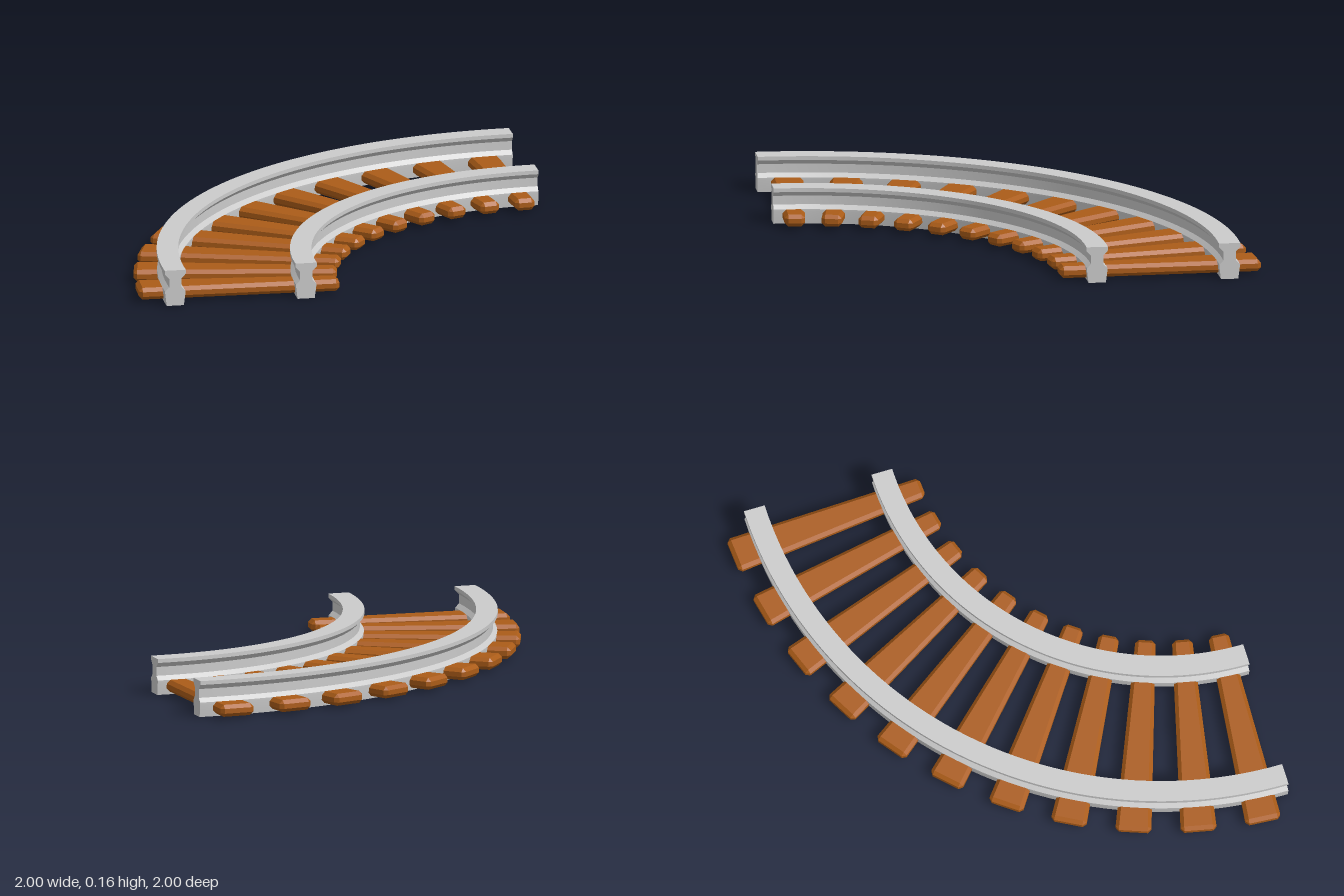
import * as THREE from 'three';
import { mergeGeometries, toCreasedNormals } from 'three/addons/utils/BufferGeometryUtils.js';
import { ConvexGeometry } from 'three/addons/geometries/ConvexGeometry.js';

const steel = new THREE.MeshStandardMaterial({ color: 0xcccccc });
const wood = new THREE.MeshStandardMaterial({ color: 0xab5c18 });

// Right half of the rail section, foot to head: [half width, height]
const HALF = [[0.038, 0], [0.045, 0.055], [0.045, 0.065], [0.027, 0.083],
  [0.027, 0.122], [0.047, 0.143], [0.047, 0.16]];
const SECTION = [...HALF, ...HALF.map(([x, y]) => [-x, y]).reverse()];

// Quarter-circle rail with closed ends, swept about the bend centre
function railGeometry(radius) {
  const points = [...SECTION, SECTION[0]].map(([x, y]) => new THREE.Vector2(radius + x, y));
  const sweep = toCreasedNormals(new THREE.LatheGeometry(points, 48, Math.PI, Math.PI / 2), 0.4);
  const cap = (sign) => new THREE.ShapeGeometry(new THREE.Shape(
    SECTION.map(([x, y]) => new THREE.Vector2(sign * (radius + x), y)))).toNonIndexed();
  return mergeGeometries([sweep, cap(1).rotateY(Math.PI / 2), cap(-1)]);
}

// Chamfered sleeper lying along -x, widening away from the bend centre
function sleeperGeometry() {
  const inner = 1.115, outer = 2.0, midY = 0.0385, halfY = 0.0265, bevel = 0.016;
  const points = [];
  for (const end of [-1, 1]) for (const sy of [-1, 1]) for (const sz of [-1, 1]) {
    // each corner is cut into three points, one per adjoining face
    for (const face of [0, 1, 2]) {
      const b = [0, 1, 2].map((axis) => (axis === face ? 0 : bevel));
      const r = (end < 0 ? inner : outer) - end * b[0];
      points.push(new THREE.Vector3(-r, midY + sy * (halfY - b[1]), sz * (0.0395 * r - b[2])));
    }
  }
  return new ConvexGeometry(points);
}

export function createModel() {
  const model = new THREE.Group();
  model.name = 'curvedTrack';

  // Everything is laid out around the centre of the bend
  const bend = new THREE.Group();
  bend.name = 'bend';
  bend.position.set(1, 0, 1);
  model.add(bend);

  for (const [name, radius] of [['innerRail', 1.272], ['outerRail', 1.853]]) {
    const rail = new THREE.Mesh(railGeometry(radius), steel);
    rail.name = name;
    bend.add(rail);
  }

  // Evenly fanned sleepers
  const count = 11, sleeper = sleeperGeometry();
  for (let i = 0; i < count; i++) {
    const mesh = new THREE.Mesh(sleeper, wood);
    mesh.name = `sleeper${i + 1}`;
    mesh.rotation.y = -((i + 0.5) / count) * Math.PI / 2;
    bend.add(mesh);
  }
  return model;
}
